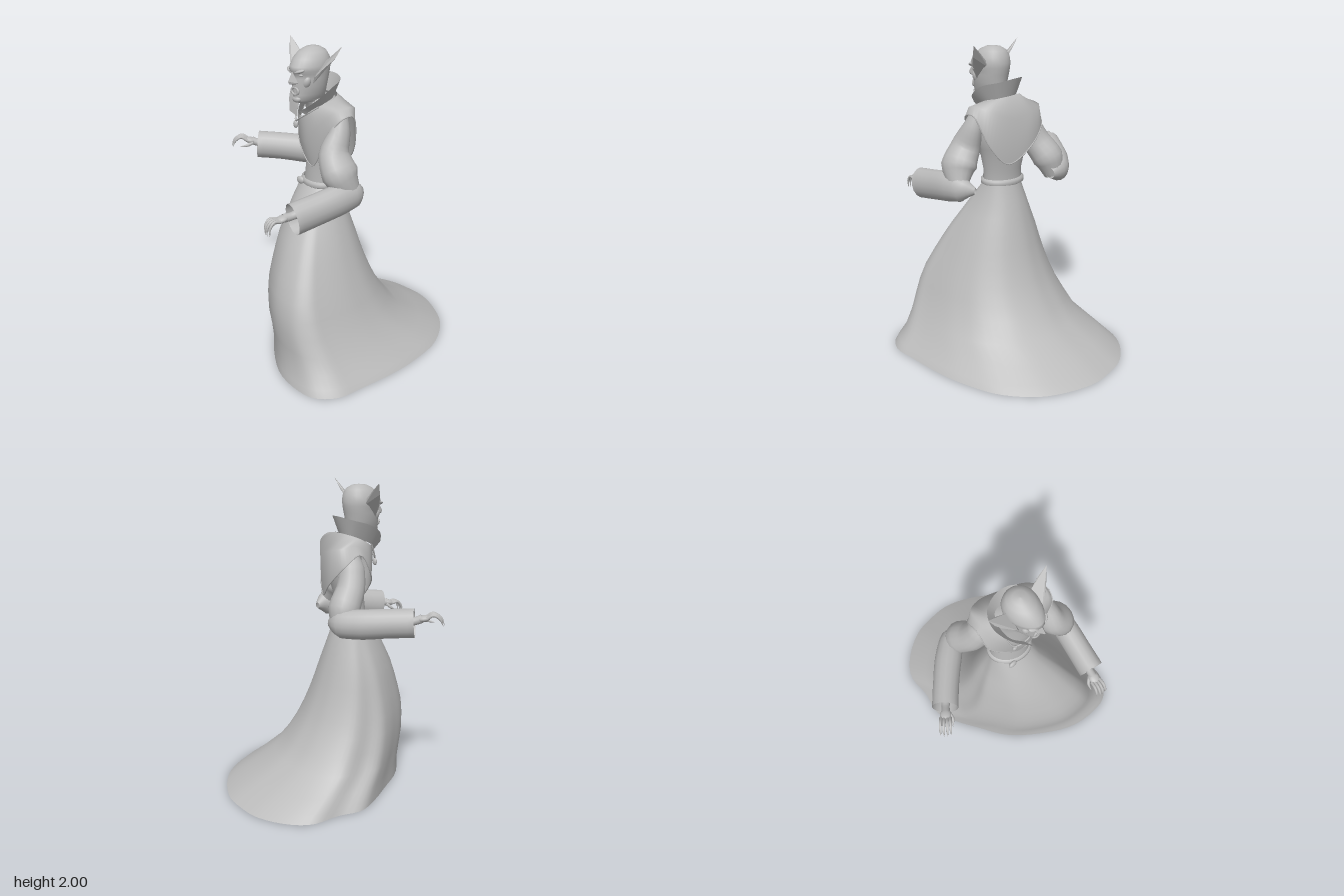
import * as THREE from 'three';
import { ConvexGeometry } from 'three/addons/geometries/ConvexGeometry.js';

const V = (x, y, z) => new THREE.Vector3(x, y, z);
const vecs = (list) => list.map((p) => V(...p));

// Skin over a list of rings with equal point counts
function loft(rings, closed = true) {
  const n = rings[0].length, pos = [], idx = [];
  rings.forEach((r) => r.forEach((p) => pos.push(p.x, p.y, p.z)));
  const cols = closed ? n : n - 1;
  for (let i = 0; i < rings.length - 1; i++) {
    for (let j = 0; j < cols; j++) {
      const a = i * n + j, b = i * n + (j + 1) % n;
      idx.push(a, b, a + n, b, b + n, a + n);
    }
  }
  const g = new THREE.BufferGeometry();
  g.setAttribute('position', new THREE.Float32BufferAttribute(pos, 3));
  g.setIndex(idx);
  g.computeVertexNormals();
  return g;
}

// Evenly sampled smooth ring through a few control points
function ring(points, n, closed = true) {
  const c = new THREE.CatmullRomCurve3(vecs(points), closed);
  return Array.from({ length: n }, (_, i) => c.getPoint(i / (closed ? n : n - 1)));
}

// Tube through [x, y, z, radius] stations; squash narrows it sideways
function sweep(st, { ref = V(0, 1, 0), squash = 1, steps = 16, sides = 16 } = {}) {
  const c = new THREE.CatmullRomCurve3(vecs(st.map((s) => s.slice(0, 3))));
  const rings = [];
  for (let i = 0; i <= steps; i++) {
    const t = i / steps, f = t * (st.length - 1), k = Math.min(Math.floor(f), st.length - 2);
    const r = THREE.MathUtils.lerp(st[k][3], st[k + 1][3], f - k);
    const p = c.getPoint(t), T = c.getTangent(t);
    const S = V().crossVectors(ref, T).normalize(), U = V().crossVectors(T, S);
    rings.push(Array.from({ length: sides }, (_, j) => {
      const a = j / sides * Math.PI * 2;
      return p.clone().addScaledVector(S, Math.cos(a) * r * squash).addScaledVector(U, Math.sin(a) * r);
    }));
  }
  return loft(rings);
}

// Horizontal ellipse turned with the body
const YAW = -0.43;
function oval(y, cx, cz, rx, rz, n = 32) {
  return Array.from({ length: n }, (_, i) => {
    const a = i / n * Math.PI * 2;
    return V(Math.sin(a) * rx, 0, Math.cos(a) * rz).applyAxisAngle(V(0, 1, 0), YAW).add(V(cx, y, cz));
  });
}

export function createModel() {
  const model = new THREE.Group();
  const grey = new THREE.MeshStandardMaterial({ color: 0xbbbbbb, side: THREE.DoubleSide });
  grey.name = 'stone grey';
  const add = (name, geo, parent = model) => {
    const m = new THREE.Mesh(geo, grey);
    m.name = name;
    parent.add(m);
    return m;
  };
  const ball = (name, p, s, parent) => {
    const m = add(name, new THREE.SphereGeometry(1, 16, 12), parent);
    m.position.set(...p);
    m.scale.set(...s);
    return m;
  };

  // Skirt: hem outline morphs to an ellipse at the waist, fitted to a box per level
  const hem = ring([[0.4, 0, 0.675], [0.52, 0, 0.655], [0.62, 0, 0.55], [0.65, 0, 0.4], [0.69, 0, 0.1],
    [0.69, 0, -0.08], [0.655, 0, -0.32], [0.53, 0, -0.54], [0.38, 0, -0.66], [0.2, 0, -0.74], [0.05, 0, -0.75],
    [-0.1, 0, -0.735], [-0.28, 0, -0.64], [-0.39, 0, -0.51], [-0.41, 0, -0.32], [-0.45, 0, -0.17],
    [-0.4, 0, -0.02], [-0.31, 0, 0.15], [-0.2, 0, 0.34], [0, 0, 0.52], [0.2, 0, 0.64]], 72);
  const levels = [[0, -0.45, 0.69, -0.75, 0.68], [0.04, -0.435, 0.66, -0.68, 0.665], [0.1, -0.41, 0.6, -0.57, 0.64],
    [0.2, -0.37, 0.53, -0.39, 0.625], [0.3, -0.345, 0.47, -0.31, 0.627], [0.4, -0.32, 0.43, -0.24, 0.615],
    [0.5, -0.295, 0.39, -0.19, 0.59], [0.6, -0.27, 0.35, -0.15, 0.545], [0.7, -0.245, 0.31, -0.118, 0.495],
    [0.8, -0.22, 0.27, -0.09, 0.44], [0.9, -0.185, 0.225, -0.06, 0.375], [1, -0.15, 0.18, -0.03, 0.31],
    [1.12, -0.115, 0.145, 0.015, 0.215]];
  add('skirt', loft(levels.map(([y, x0, x1, z0, z1]) => hem.map((p) => {
    const u = (p.x - 0.12) / 0.57, v = (p.z + 0.035) / 0.715;
    const a = Math.atan2(u, v), w = 1 - (y / 1.12) ** 2.5;
    const s = THREE.MathUtils.lerp(Math.sin(a), u, w), c = THREE.MathUtils.lerp(Math.cos(a), v, w);
    return V((x0 + x1) / 2 + s * (x1 - x0) / 2, y, (z0 + z1) / 2 + c * (z1 - z0) / 2);
  }))));
  // Turned-in edge under the hem, widest below the train
  add('hemUnderside', loft([hem, hem.map((p) => V(0.12 + (p.x - 0.12) * 0.88, 0.004, 0.015 + (p.z + 0.035) * 0.88))]));

  // Torso and belt
  add('torso', loft([[1.08, 0.015, 0.115, 0.132, 0.095], [1.2, 0.02, 0.11, 0.13, 0.09], [1.35, 0.04, 0.09, 0.16, 0.1],
    [1.5, 0.06, 0.08, 0.2, 0.11], [1.59, 0.05, 0.09, 0.16, 0.1], [1.66, 0.02, 0.12, 0.09, 0.09],
    [1.67, 0.02, 0.13, 0.001, 0.001]].map((r) => oval(...r))));
  add('belt', loft([[1.1, 0.134, 0.104], [1.108, 0.145, 0.115], [1.132, 0.145, 0.113], [1.14, 0.13, 0.1]]
    .map(([y, rx, rz]) => oval(y, 0.016, 0.114, rx, rz))));
  ball('buckle', [-0.055, 1.118, 0.215], [0.032, 0.025, 0.016]);

  // Mantle: neck ring, shoulder ring, pointed hem front and back
  const neckRing = [[0.01, 1.55, 0.25], [0.07, 1.59, 0.24], [0.11, 1.63, 0.2], [0.13, 1.65, 0.13], [0.11, 1.67, 0.06],
    [0.05, 1.68, 0.02], [-0.04, 1.68, 0.02], [-0.09, 1.66, 0.06], [-0.1, 1.64, 0.11], [-0.09, 1.61, 0.17], [-0.05, 1.57, 0.23]];
  const shoulderRing = [[0.025, 1.4, 0.25], [0.14, 1.52, 0.245], [0.24, 1.62, 0.2], [0.27, 1.637, 0.13], [0.23, 1.61, 0.03],
    [0.11, 1.56, -0.055], [-0.03, 1.59, -0.095], [-0.12, 1.61, -0.075], [-0.14, 1.62, 0.03], [-0.135, 1.55, 0.14], [-0.06, 1.47, 0.22]];
  const hemRing = [[0.05, 1.24, 0.215], [0.165, 1.4, 0.225], [0.275, 1.57, 0.2], [0.298, 1.59, 0.12], [0.245, 1.4, 0.04],
    [0.135, 1.27, -0.025], [-0.03, 1.38, -0.095], [-0.15, 1.5, -0.075], [-0.175, 1.57, 0.03], [-0.168, 1.44, 0.12], [-0.06, 1.33, 0.2]];
  add('mantle', loft([neckRing, shoulderRing, hemRing].map((r) => ring(r, 66))));
  add('mantleTrim', new THREE.TubeGeometry(new THREE.CatmullRomCurve3(vecs(hemRing), true), 66, 0.004, 6, true));

  // Standing collar, open at the front
  const collarTop = [[0.05, 1.605, 0.31], [0.13, 1.67, 0.26], [0.165, 1.74, 0.16], [0.13, 1.77, 0.05], [0.02, 1.785, 0.005],
    [-0.1, 1.77, 0.04], [-0.145, 1.74, 0.13], [-0.11, 1.68, 0.24], [-0.02, 1.6, 0.325]];
  const collarBase = [[0.06, 1.575, 0.26], [0.1, 1.62, 0.22], [0.115, 1.64, 0.14], [0.09, 1.66, 0.07], [0.02, 1.67, 0.04],
    [-0.05, 1.67, 0.05], [-0.085, 1.64, 0.12], [-0.08, 1.6, 0.2], [-0.02, 1.55, 0.265]];
  add('collar', loft([collarBase, collarTop].map((r) => ring(r, 40, false)), false));

  // Necklace and pendant
  add('necklace', new THREE.TubeGeometry(new THREE.CatmullRomCurve3(vecs([[-0.1, 1.61, 0.18], [-0.09, 1.55, 0.21],
    [-0.07, 1.51, 0.235], [0, 1.545, 0.262], [0.07, 1.59, 0.255], [0.12, 1.63, 0.22]])), 30, 0.005, 6));
  ball('pendant', [-0.07, 1.485, 0.235], [0.018, 0.024, 0.012]);

  // Head: horizontal sections as [y, half width, back z, front z], narrower toward the face
  const head = new THREE.Group();
  head.name = 'head';
  model.add(head);
  add('skull', loft([[1.55, 0.055, 0.06, 0.21], [1.645, 0.052, 0.085, 0.23], [1.652, 0.048, 0.09, 0.3], [1.67, 0.058, 0.09, 0.322],
    [1.7, 0.073, 0.09, 0.318], [1.75, 0.086, 0.085, 0.32], [1.8, 0.093, 0.075, 0.32], [1.825, 0.095, 0.07, 0.316],
    [1.845, 0.1, 0.067, 0.34], [1.87, 0.102, 0.065, 0.332], [1.91, 0.095, 0.072, 0.307], [1.945, 0.074, 0.092, 0.268],
    [1.965, 0.042, 0.125, 0.225], [1.972, 0.001, 0.17, 0.172]].map(([y, w, z0, z1]) =>
    Array.from({ length: 28 }, (_, i) => {
      const a = i / 28 * Math.PI * 2, c = Math.cos(a);
      return V(0.02 + Math.sin(a) * w * (1 - 0.15 * c), y, (z0 + z1) / 2 + c * (z1 - z0) / 2);
    }))), head);
  add('nose', new ConvexGeometry(vecs([[0.02, 1.845, 0.335], [0.02, 1.79, 0.368], [0.02, 1.773, 0.36],
    [-0.01, 1.775, 0.316], [0.05, 1.775, 0.316], [0.02, 1.762, 0.313]])), head);
  const lips = add('mouth', new THREE.TorusGeometry(0.022, 0.007, 8, 20), head);
  lips.position.set(0.02, 1.725, 0.316);
  lips.scale.set(1.25, 0.95, 1);
  ball('chin', [0.02, 1.675, 0.302], [0.032, 0.022, 0.022], head);
  for (const s of [-1, 1]) {
    const x = (d) => 0.02 + s * d;
    const brow = ball('brow', [x(0.038), 1.845, 0.314], [0.036, 0.011, 0.018], head);
    brow.rotation.set(0, s * 0.4, s * 0.3);
    ball('eye', [x(0.035), 1.82, 0.297], [0.014, 0.009, 0.013], head);
    const cheek = ball('cheek', [x(0.05), 1.775, 0.268], [0.024, 0.04, 0.026], head);
    cheek.rotation.z = s * -0.4;
    // Long pointed ear
    add('ear', new ConvexGeometry(vecs([[x(0.222), 1.997, 0.148], [x(0.17), 1.95, 0.145], [x(0.075), 1.875, 0.16],
      [x(0.085), 1.85, 0.15], [x(0.075), 1.765, 0.245], [x(0.095), 1.81, 0.25], [x(0.14), 1.86, 0.225],
      [x(0.195), 1.925, 0.18]])), head);
  }

  // Sleeves: puffed upper arm and wide open forearm
  const upright = { ref: V(0, 0, 1) };
  add('leftUpperSleeve', sweep([[0.225, 1.6, 0.14, 0.04], [0.245, 1.49, 0.17, 0.068], [0.25, 1.37, 0.22, 0.1],
    [0.31, 1.26, 0.23, 0.12], [0.37, 1.14, 0.19, 0.06]], { ...upright, squash: 0.85 }));
  add('leftForeSleeve', sweep([[0.34, 1.13, 0.08, 0.02], [0.362, 1.135, 0.17, 0.085], [0.348, 1.125, 0.28, 0.098],
    [0.31, 1.095, 0.44, 0.098], [0.275, 1.07, 0.58, 0.1]], { squash: 0.78 }));
  add('rightUpperSleeve', sweep([[-0.08, 1.58, 0.02, 0.04], [-0.115, 1.48, 0.01, 0.08], [-0.155, 1.36, -0.03, 0.09],
    [-0.185, 1.25, -0.105, 0.1], [-0.2, 1.14, -0.14, 0.06]], upright));
  add('rightForeSleeve', sweep([[-0.13, 1.165, -0.16, 0.035], [-0.22, 1.175, -0.15, 0.087], [-0.33, 1.185, -0.075, 0.094],
    [-0.45, 1.2, 0.03, 0.09], [-0.56, 1.21, 0.135, 0.09]], { squash: 0.88 }));

  // Hands: wrist, palm and clawed fingers, pointing along local +z
  const hand = (name, from, to, side) => {
    const h = new THREE.Group();
    h.name = name;
    add('wrist', sweep([[0, 0, -0.1, 0.03], [0, 0, 0, 0.024], [0, 0.01, 0.05, 0.026]]), h);
    ball('palm', [0, 0.01, 0.06], [0.033, 0.02, 0.042], h);
    for (let i = 0; i < 4; i++) {
      const x = (i - 1.5) * 0.018, len = 1 - Math.abs(i - 1.4) * 0.08;
      add('finger', sweep([[x, 0.012, 0.08, 0.011], [x * 1.1, 0.028, 0.08 + 0.045 * len, 0.009],
        [x * 1.15, 0, 0.08 + 0.085 * len, 0.008], [x * 1.15, -0.045, 0.08 + 0.1 * len, 0.001]], { sides: 8, steps: 10 }), h);
    }
    add('thumb', sweep([[side * 0.02, 0, 0.04, 0.012], [side * 0.042, -0.018, 0.075, 0.01],
      [side * 0.042, -0.035, 0.12, 0.001]], { sides: 8, steps: 8 }), h);
    h.position.set(...from);
    h.lookAt(...to);
    model.add(h);
  };
  hand('leftHand', [0.26, 1.085, 0.575], [0.21, 1.04, 0.75], -1);
  hand('rightHand', [-0.555, 1.22, 0.135], [-0.68, 1.25, 0.265], 1);

  return model;
}
